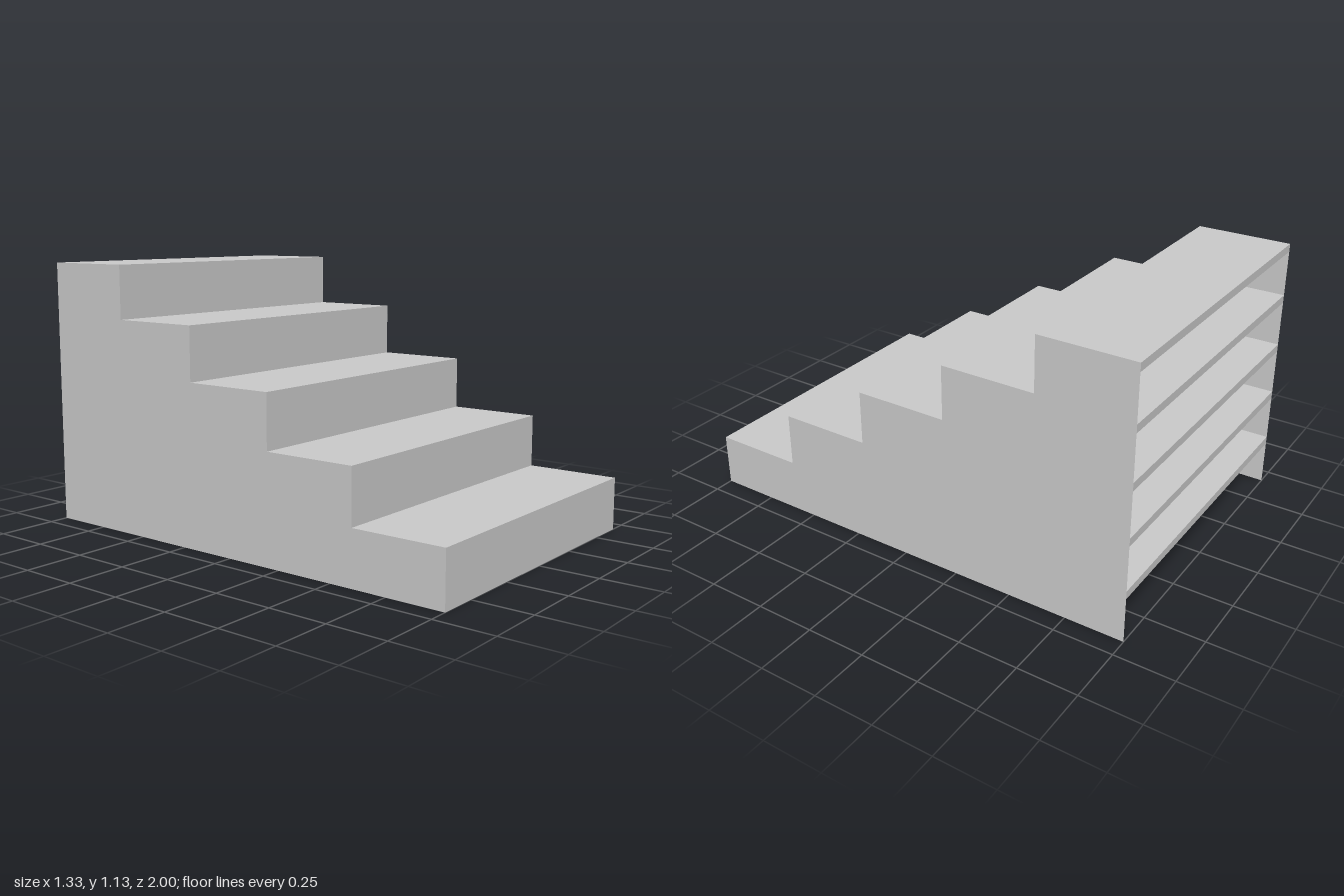
import * as THREE from 'three';

const STEPS = 5;
const WIDTH = 1.333;
const RUN = 0.4;      // tread depth
const RISE = 0.2267;  // step height
const T = 0.034;      // board thickness
const BACK = -1;

export function createModel() {
  const group = new THREE.Group();
  group.name = 'staircase';
  const boardMat = new THREE.MeshStandardMaterial({ color: 0xcccccc });
  const panelMat = new THREE.MeshStandardMaterial({ color: 0xcccccc, side: THREE.DoubleSide });

  // Board spanning the stairs between two heights and two depths
  const addBoard = (name, y0, y1, z0, z1) => {
    const mesh = new THREE.Mesh(new THREE.BoxGeometry(WIDTH - 0.001, y1 - y0, z1 - z0), boardMat);
    mesh.position.set(0, (y0 + y1) / 2, (z0 + z1) / 2);
    mesh.name = name;
    group.add(mesh);
  };

  // Treads run through to the open back; each riser stands under its tread's front edge
  for (let i = 0; i < STEPS; i++) {
    const front = 1 - i * RUN;
    const top = (i + 1) * RISE;
    addBoard(`tread${i + 1}`, top - T, top, BACK, front);
    addBoard(`riser${i + 1}`, i * RISE, top - T, front - T, front);
  }

  // Stepped side outline, with shape x running from front to back (x = -z)
  const outline = new THREE.Shape();
  outline.moveTo(-1, 0);
  for (let i = 0; i < STEPS; i++) {
    outline.lineTo(-1 + i * RUN, (i + 1) * RISE);
    outline.lineTo(-1 + (i + 1) * RUN, (i + 1) * RISE);
  }
  outline.lineTo(1, 0);
  outline.closePath();

  // Thin side panels, each facing outward
  for (const side of [1, -1]) {
    const shapeGeo = new THREE.ShapeGeometry(outline);
    shapeGeo.rotateY(Math.PI / 2);
    const panel = new THREE.Mesh(shapeGeo, panelMat);
    panel.position.x = side * WIDTH / 2;
    panel.name = side > 0 ? 'leftSidePanel' : 'rightSidePanel';
    group.add(panel);
  }
  return group;
}
